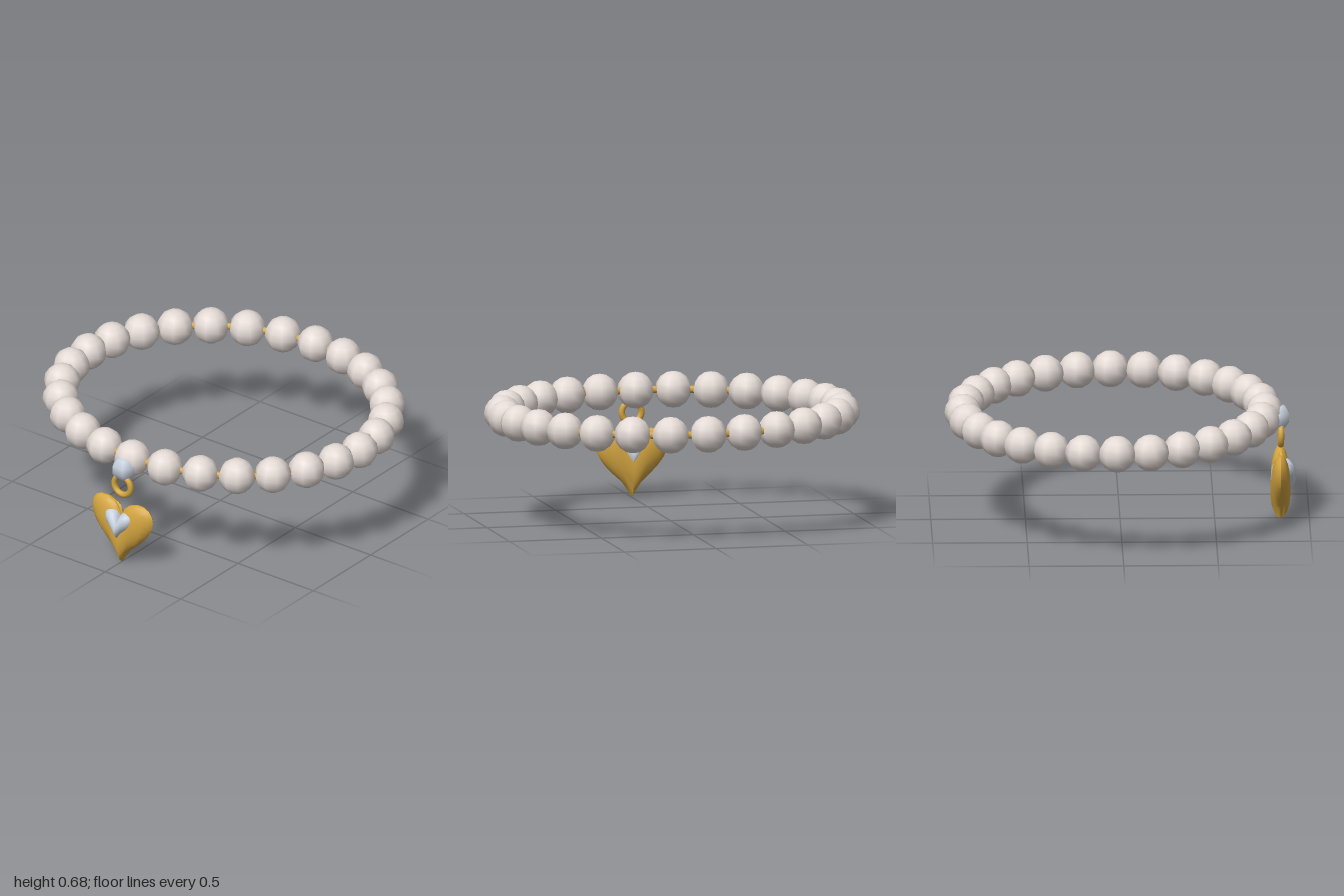
import * as THREE from 'three';
import { mergeVertices, toCreasedNormals } from 'three/addons/utils/BufferGeometryUtils.js';

const BEADS = 28, RX = 0.902, RZ = 0.797, CY = 0.585, CZ = -0.033;

// Puffed heart: an ellipsoid whose sides are lifted away from the middle line
function heartGeometry(halfWidth, halfHeight, halfDepth, lift) {
  const g = new THREE.SphereGeometry(1, 16, 12);
  g.deleteAttribute('uv');
  g.deleteAttribute('normal');
  const p = g.attributes.position;
  for (let i = 0; i < p.count; i++) {
    const x = Math.abs(p.getX(i)) < 1e-6 ? 0 : p.getX(i);
    p.setXYZ(i, x * halfWidth, p.getY(i) * halfHeight + lift * Math.sqrt(Math.abs(x)), p.getZ(i) * halfDepth);
  }
  return toCreasedNormals(mergeVertices(g, 1e-5), 0.85);
}

export function createModel() {
  const model = new THREE.Group();
  const pearl = new THREE.MeshStandardMaterial({ color: 0xe4dad5 });
  const gold = new THREE.MeshStandardMaterial({ color: 0xd4a540 });
  const silver = new THREE.MeshStandardMaterial({ color: 0xc5cfdc });

  function add(name, geometry, material, x, y, z, parent = model) {
    const mesh = new THREE.Mesh(geometry, material);
    mesh.name = name;
    mesh.position.set(x, y, z);
    parent.add(mesh);
    return mesh;
  }

  // Oval cord running through the beads
  const loop = [];
  for (let i = 0; i < 56; i++) {
    const a = (i / 56) * Math.PI * 2;
    loop.push(new THREE.Vector3(Math.sin(a) * RX, 0, Math.cos(a) * RZ));
  }
  const path = new THREE.CatmullRomCurve3(loop, true);
  add('cord', new THREE.TubeGeometry(path, 112, 0.019, 8, true), gold, 0, CY, CZ);

  // Beads, each turned to face outward
  const beads = new THREE.Group();
  beads.name = 'beads';
  model.add(beads);
  const beadGeometry = new THREE.SphereGeometry(0.098, 9, 8).rotateY(Math.PI / 2);
  for (let i = 0; i < BEADS; i++) {
    const a = (i / BEADS) * Math.PI * 2;
    const bead = add('bead', beadGeometry, pearl, Math.sin(a) * RX, CY, CZ + Math.cos(a) * RZ, beads);
    bead.rotation.y = a;
  }

  // Pendant: bail, jump ring, heart and its inlaid smaller heart
  const pendant = new THREE.Group();
  pendant.name = 'pendant';
  model.add(pendant);
  add('bail', new THREE.SphereGeometry(0.07, 6, 5), silver, 0, 0.553, 0.835, pendant);
  add('jumpRing', new THREE.TorusGeometry(0.054, 0.017, 8, 20), gold, 0, 0.455, 0.85, pendant);
  add('heart', heartGeometry(0.2, 0.14, 0.053, 0.15), gold, 0, 0.14, 0.848, pendant);
  add('heartInlay', heartGeometry(0.095, 0.064, 0.066, 0.068), silver, 0, 0.212, 0.862, pendant);

  return model;
}
